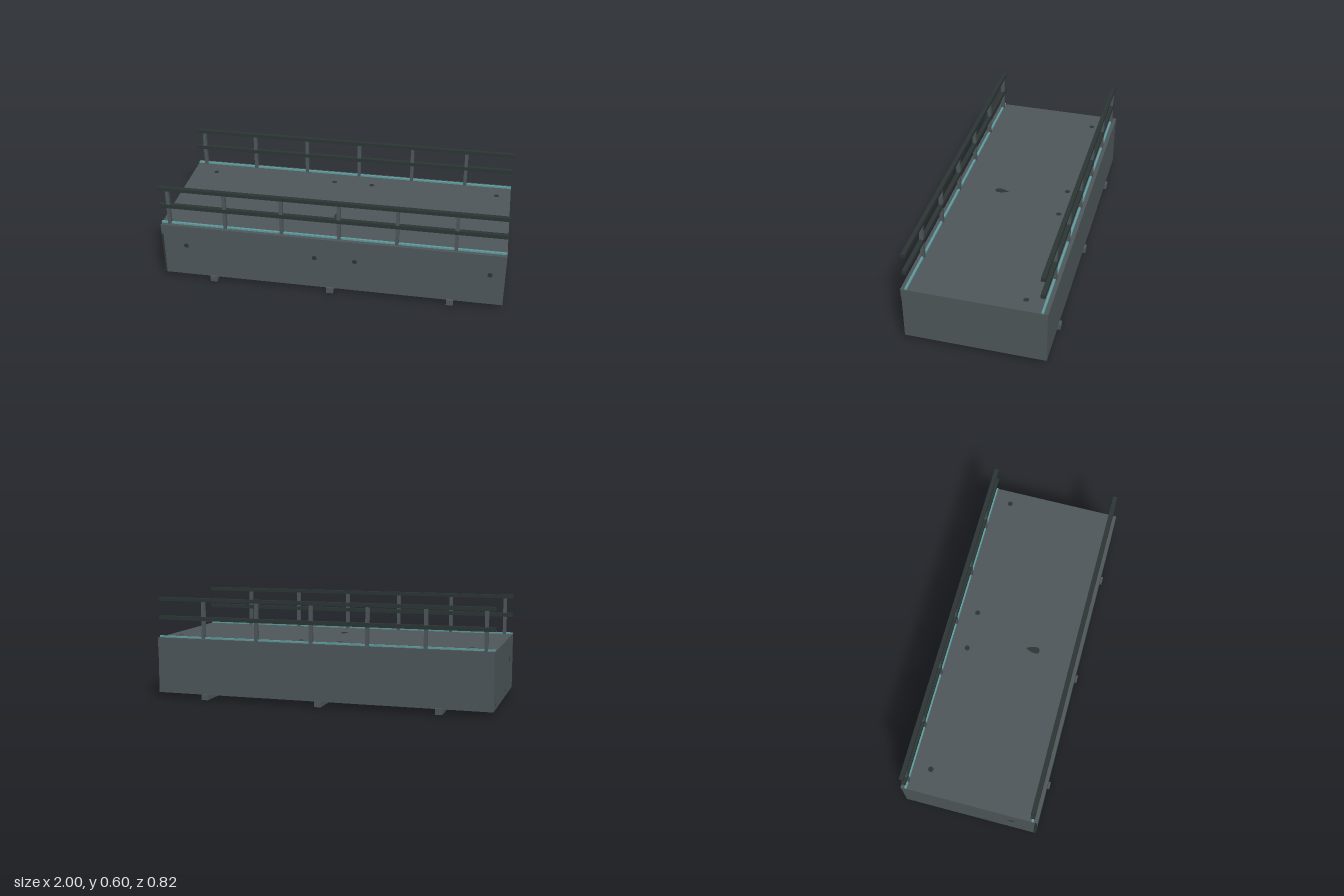
import * as THREE from 'three';

export function createModel() {
  const model = new THREE.Group();
  const mat = (name, color, side = THREE.FrontSide) => {
    const m = new THREE.MeshStandardMaterial({ color, side });
    m.name = name;
    return m;
  };
  const steel = mat('grey steel', 0x4f585b);
  const dark = mat('dark steel', 0x2c3535);
  const teal = mat('teal trim', 0x5f9c9f);

  const box = (name, m, w, h, d, x, y, z) => {
    const mesh = new THREE.Mesh(new THREE.BoxGeometry(w, h, d), m);
    mesh.name = name;
    mesh.position.set(x, y, z);
    model.add(mesh);
    return mesh;
  };

  // Deck body with crossbeams underneath
  box('deckBody', steel, 2, 0.33, 0.8, 0, 0.195, 0);
  for (const x of [-0.7, 0, 0.7]) box('crossbeam', steel, 0.04, 0.035, 0.824, x, 0.0175, 0);

  // Edge lips, trim and guard rails on both long sides
  for (const s of [-1, 1]) {
    box('edgeLip', steel, 2, 0.06, 0.004, 0, 0.331, s * 0.401);
    box('trimStrip', teal, 2, 0.01, 0.013, 0, 0.365, s * 0.373);
    box('topRail', dark, 2, 0.021, 0.025, 0, 0.5895, s * 0.373);
    box('midRail', dark, 2, 0.023, 0.025, 0, 0.478, s * 0.373);
    for (let i = 0; i < 6; i++) {
      box('railPost', steel, 0.02, 0.22, 0.022, -0.95 + i * 0.333, 0.47, s * 0.373);
    }
  }

  // Dark corner stripe at the right end
  box('cornerStripe', dark, 0.002, 0.33, 0.015, -1, 0.195, 0.393);
  box('cornerStripeFront', dark, 0.01, 0.27, 0.002, -0.995, 0.165, 0.4);

  // Thin round stains on the deck and walls
  const spot = (r, x, y, z, rx, ry) => {
    const mesh = new THREE.Mesh(new THREE.CircleGeometry(r, 10), dark);
    mesh.name = 'stain';
    mesh.position.set(x, y, z);
    mesh.rotation.set(rx, ry, 0);
    model.add(mesh);
  };
  for (const x of [-0.855, -0.09, 0.145, 0.915]) {
    spot(0.015, x, 0.23, 0.402, 0, 0);
    spot(0.016, x, 0.3615, -0.265, -Math.PI / 2, 0);
  }
  spot(0.017, -1.001, 0.225, 0.25, 0, -Math.PI / 2);
  for (const z of [0.093, -0.348]) spot(0.007, -1.001, 0.063, z, 0, -Math.PI / 2);

  // Drop-shaped stain on the deck
  const drop = new THREE.Shape();
  drop.moveTo(0, 0.05);
  drop.quadraticCurveTo(0.02, 0.015, 0.02, -0.01);
  drop.absarc(0, -0.015, 0.02, 0, -Math.PI, true);
  drop.quadraticCurveTo(-0.02, 0.015, 0, 0.05);
  const stain = new THREE.Mesh(new THREE.ShapeGeometry(drop, 6), dark);
  stain.name = 'dropStain';
  stain.rotation.x = -Math.PI / 2;
  stain.position.set(0, 0.3615, 0.125);
  model.add(stain);

  return model;
}
